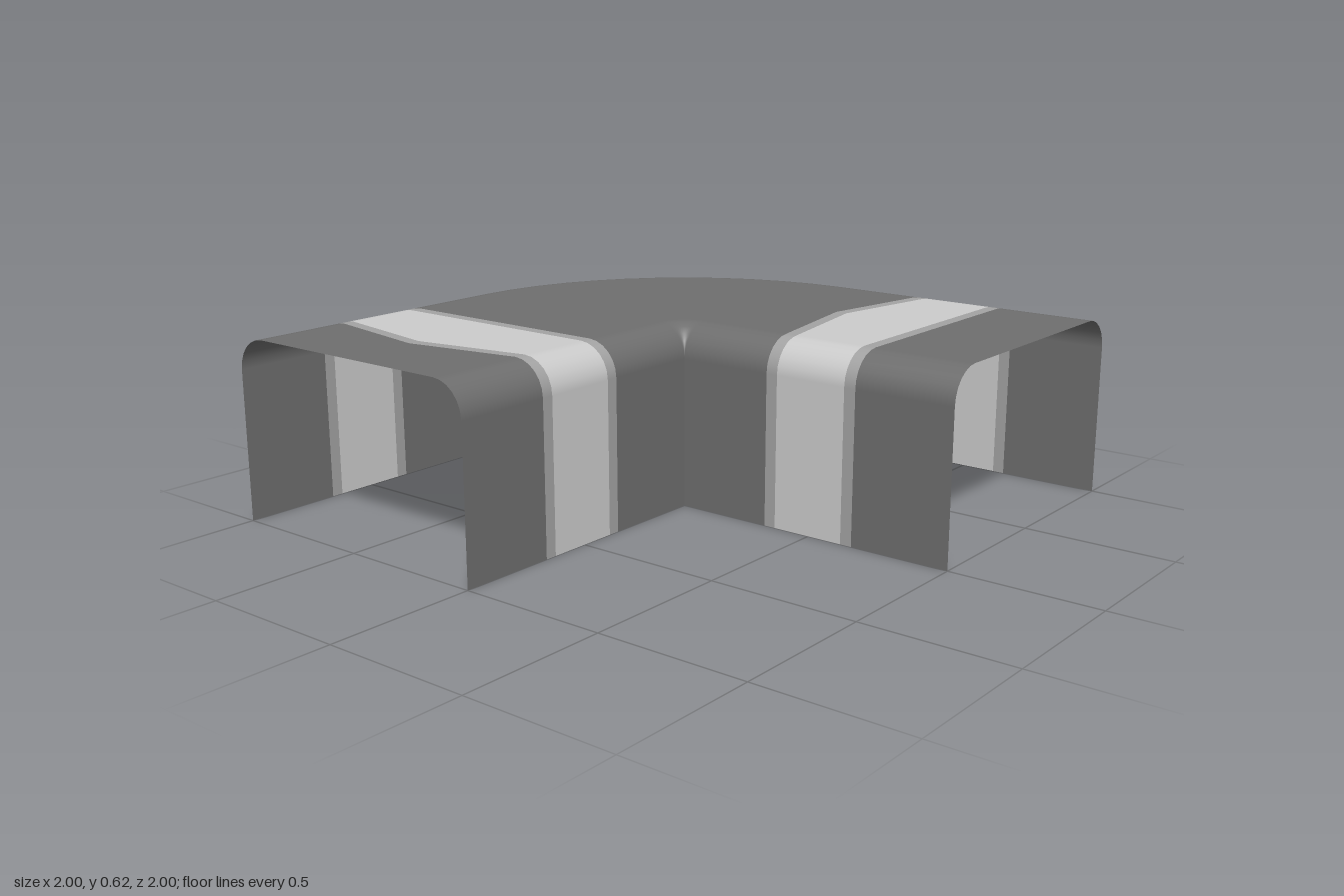
import * as THREE from 'three';

const HEIGHT = 0.615, RADIUS = 0.11, ARC_STEPS = 12, CORNER_STEPS = 6;

// Half-open cross-section: r runs from the inner wall (0) to the outer wall (1)
function makeSection() {
  const pts = [{ r: 0, y: 0, nr: -1, ny: 0 }];
  const corner = (cx, from, to) => {
    for (let i = 0; i <= CORNER_STEPS; i++) {
      const a = from + (to - from) * i / CORNER_STEPS;
      const nr = Math.cos(a), ny = Math.sin(a);
      pts.push({ r: cx + RADIUS * nr, y: HEIGHT - RADIUS + RADIUS * ny, nr, ny });
    }
  };
  corner(RADIUS, Math.PI, Math.PI / 2);
  pts.push({ r: 0.5, y: HEIGHT, nr: 0, ny: 1 });
  corner(1 - RADIUS, Math.PI / 2, 0);
  pts.push({ r: 1, y: 0, nr: 1, ny: 0 });
  return pts;
}
const section = makeSection();

// Skins the section along frames { angle, at(r) }, at being the run along the tunnel
function skin(name, frames, material) {
  const pos = [], nor = [], idx = [], n = section.length;
  for (const { angle, at } of frames) {
    const s = Math.sin(angle), c = Math.cos(angle);
    for (const p of section) {
      const t = at(p.r);
      pos.push(-s * p.r - c * t, p.y, -c * p.r + s * t);
      nor.push(-s * p.nr, p.ny, -c * p.nr);
    }
  }
  for (let i = 0; i < frames.length - 1; i++) {
    for (let j = 0; j < n - 1; j++) {
      const a = i * n + j, b = a + n;
      idx.push(a, a + 1, b, a + 1, b + 1, b);
    }
  }
  const geo = new THREE.BufferGeometry();
  geo.setAttribute('position', new THREE.Float32BufferAttribute(pos, 3));
  geo.setAttribute('normal', new THREE.Float32BufferAttribute(nor, 3));
  geo.setIndex(idx);
  const mesh = new THREE.Mesh(geo, material);
  mesh.name = name;
  return mesh;
}

// Straight edge, and an edge that swells to an arrow point on the roof
const straight = (t) => () => t;
const arrow = (t) => (r) =>
  t + 0.07 * Math.max(0, 1 - Math.abs(r - 0.5) / (0.5 - RADIUS));

export function createModel() {
  const group = new THREE.Group();
  group.name = 'cornerTunnel';
  const paint = (color) => new THREE.MeshStandardMaterial({ color, side: THREE.DoubleSide });
  const dark = paint(0x6e6e6e), mid = paint(0xa3a3a3), light = paint(0xcccccc);

  // Two straight arms, each with a bordered arrow band
  const arms = [
    { side: 'left', angle: 0, start: -1 },
    { side: 'front', angle: Math.PI / 2, start: 0 },
  ];
  const bandStart = [], bandEnd = [];
  for (const { side, angle, start } of arms) {
    const f = (edge, t) => ({ angle, at: edge(start + t) });
    const edges = [f(straight, 0.34), f(straight, 0.38), f(arrow, 0.63), f(arrow, 0.67)];
    group.add(
      skin(side + 'BandRearBorder', [edges[0], edges[1]], mid),
      skin(side + 'Band', [edges[1], edges[2]], light),
      skin(side + 'BandArrowBorder', [edges[2], edges[3]], mid),
    );
    bandStart.push(edges[0]);
    bandEnd.push(edges[3]);
  }

  // Plain shell at both open ends
  group.add(
    skin('leftEndShell', [{ angle: 0, at: straight(-1) }, bandStart[0]], dark),
    skin('frontEndShell', [bandEnd[1], { angle: Math.PI / 2, at: straight(1) }], dark),
  );

  // Bend between the two bands, turning about the inner corner
  const bend = [bandEnd[0]];
  for (let i = 0; i <= ARC_STEPS; i++) {
    bend.push({ angle: (i / ARC_STEPS) * Math.PI / 2, at: straight(0) });
  }
  bend.push(bandStart[1]);
  group.add(skin('bendShell', bend, dark));

  return group;
}
